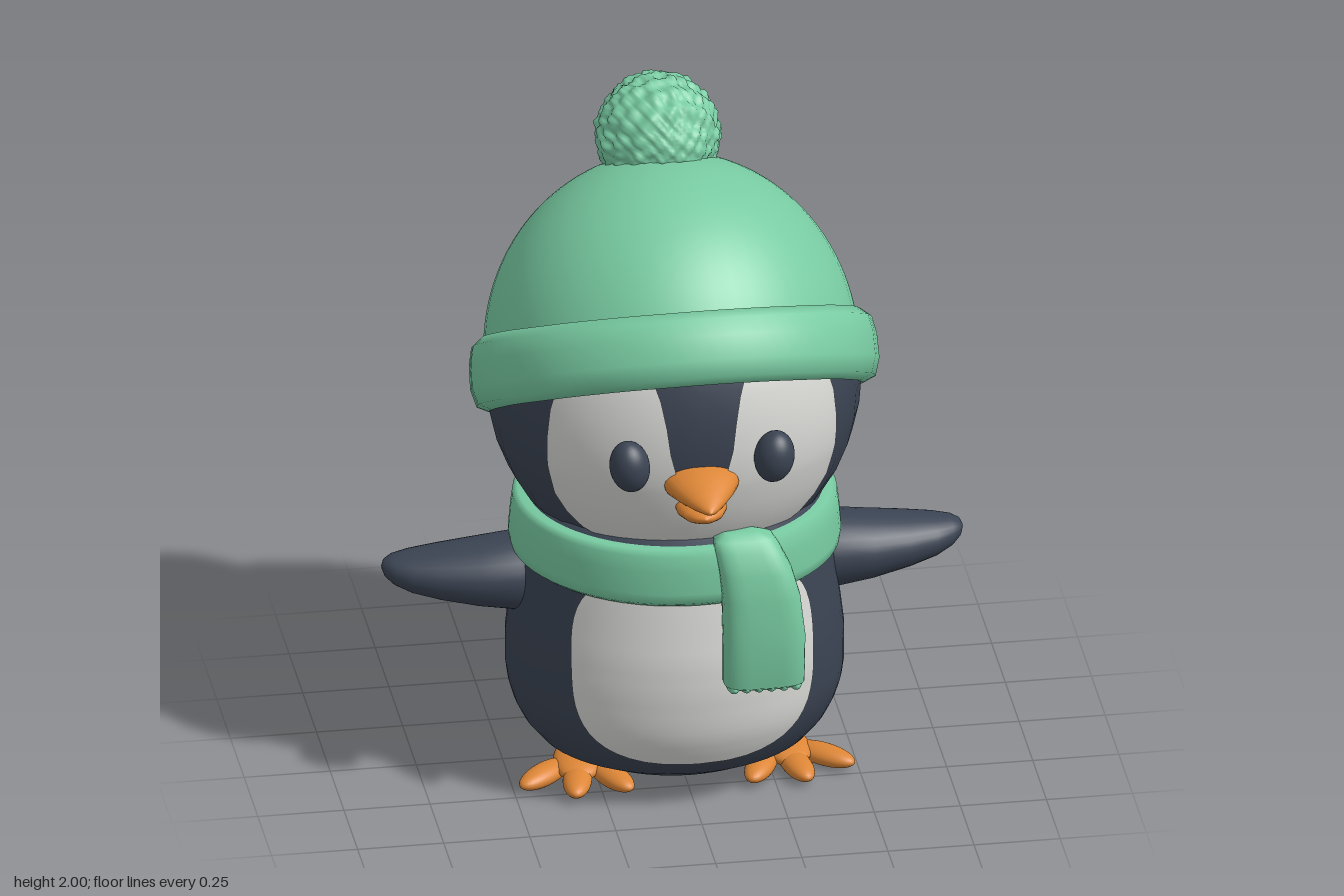
import * as THREE from 'three';
import { mergeVertices } from 'three/addons/utils/BufferGeometryUtils.js';

const mat = (name, color, side = THREE.FrontSide) => {
  const m = new THREE.MeshStandardMaterial({ color, side });
  m.name = name;
  return m;
};

// Body sections: height, half width, front depth, back depth, tail reach
const BODY = [
  [0.03, 0.01, 0.01, 0.01, 0], [0.035, 0.2, 0.18, 0.22, 0.05], [0.06, 0.32, 0.29, 0.36, 0.1],
  [0.1, 0.4, 0.36, 0.42, 0.15], [0.15, 0.44, 0.4, 0.44, 0.2], [0.2, 0.465, 0.425, 0.45, 0.215],
  [0.25, 0.48, 0.445, 0.455, 0.18], [0.3, 0.487, 0.455, 0.46, 0.11], [0.4, 0.487, 0.465, 0.47, 0.055],
  [0.5, 0.475, 0.465, 0.47, 0.035], [0.65, 0.455, 0.445, 0.455, 0.01], [0.75, 0.44, 0.43, 0.44, 0],
  [0.9, 0.42, 0.42, 0.42, 0],
];
const HEAD = { y: 1.2, z: -0.02, rx: 0.54, ry: 0.57, rz: 0.52 };

// Skin over closed rings of points, with both ends capped
function loft(rings) {
  const n = rings[0].length, pos = [], idx = [];
  rings.forEach(r => r.forEach(p => pos.push(...p)));
  for (let i = 0; i < rings.length - 1; i++) for (let j = 0; j < n; j++) {
    const a = i * n + j, b = i * n + (j + 1) % n;
    idx.push(a, b, b + n, a, b + n, a + n);
  }
  [0, rings.length - 1].forEach(k => {
    const c = pos.length / 3;
    pos.push(...[0, 1, 2].map(d => rings[k].reduce((s, p) => s + p[d], 0) / n));
    for (let j = 0; j < n; j++) {
      const a = k * n + j, b = k * n + (j + 1) % n;
      k ? idx.push(a, b, c) : idx.push(b, a, c);
    }
  });
  return makeGeometry(pos, idx);
}

function makeGeometry(pos, idx) {
  const g = new THREE.BufferGeometry();
  g.setAttribute('position', new THREE.Float32BufferAttribute(pos, 3));
  g.setIndex(idx);
  g.computeVertexNormals();
  return g;
}

// Ring of n points; place(u, v) puts each one in space, e < 1 squares the outline
function ring(n, e, place) {
  const p = t => Math.sign(t) * Math.abs(t) ** e;
  return Array.from({ length: n }, (_, j) => {
    const a = j / n * Math.PI * 2;
    return place(p(Math.sin(a)), p(Math.cos(a)));
  });
}

// Thin sheet over a surface: rows of [y, x start, x end]
function patch(rows, surfaceZ, cols = 24) {
  const pos = [], idx = [];
  rows.forEach(([y, x0, x1], i) => {
    for (let j = 0; j <= cols; j++) {
      const x = x0 + (x1 - x0) * j / cols;
      pos.push(x, y, surfaceZ(x, y) + 0.008);
      if (i && j) {
        const d = i * (cols + 1) + j, b = d - cols - 1;
        idx.push(b - 1, b, d, b - 1, d, d - 1);
      }
    }
  });
  return makeGeometry(pos, idx);
}

function mirrored(geo) {
  const g = geo.clone().scale(-1, 1, 1), ix = g.index.array;
  for (let i = 0; i < ix.length; i += 3) [ix[i], ix[i + 1]] = [ix[i + 1], ix[i]];
  g.computeVertexNormals();
  return g;
}

const ball = (rx, ry, rz, x = 0, y = 0, z = 0) =>
  new THREE.SphereGeometry(1, 32, 20).scale(rx, ry, rz).translate(x, y, z);

const bodyZ = (x, y) => {
  const i = Math.max(1, BODY.findIndex(r => r[0] >= y));
  const [a, b] = [BODY[i - 1], BODY[i]], t = (y - a[0]) / (b[0] - a[0]);
  const w = a[1] + (b[1] - a[1]) * t, f = a[2] + (b[2] - a[2]) * t;
  return f * Math.sqrt(Math.max(0, 1 - (x / w) ** 2));
};
const headZ = (x, y) => HEAD.z + HEAD.rz *
  Math.sqrt(Math.max(0, 1 - (x / HEAD.rx) ** 2 - ((y - HEAD.y) / HEAD.ry) ** 2));

export function createModel() {
  const model = new THREE.Group();
  const navy = mat('navy', 0x3b4453), white = mat('white', 0xdbdbd8, THREE.DoubleSide);
  const green = mat('green', 0x78cba2), orange = mat('orange', 0xdd8636);
  const add = (name, geo, material, parent = model) => {
    const m = new THREE.Mesh(geo, material);
    m.name = name;
    parent.add(m);
    return m;
  };
  const pair = (name, geo, material) => {
    add('left' + name, geo, material);
    add('right' + name, mirrored(geo), material);
  };

  // Body with the tail drawn out of its back
  add('body', loft(BODY.map(([y, w, f, b, tail]) => ring(64, 1, (u, v) => {
    const x = u * w;
    return [x, y, v > 0 ? v * f : v * b - tail * Math.exp(-((x / 0.2) ** 2)) * Math.min(1, -v * 2)];
  }))), navy);
  const belly = Array.from({ length: 29 }, (_, i) => {
    const t = -Math.cos(i / 28 * Math.PI), w = 0.352 * (1 - Math.abs(t) ** 3) ** (1 / 3);
    return [0.47 + 0.315 * t, -w, w];
  });
  add('bellyPatch', patch(belly, bodyZ), white);

  // Head and face
  add('head', ball(HEAD.rx, HEAD.ry, HEAD.rz, 0, HEAD.y, HEAD.z), navy);
  pair('FacePatch', patch([
    [0.85, 0, 0.25], [0.89, 0, 0.315], [0.94, 0, 0.36], [1.0, 0, 0.395], [1.07, 0, 0.412], [1.1, 0.04, 0.418],
    [1.14, 0.075, 0.42], [1.2, 0.09, 0.42], [1.28, 0.1, 0.412], [1.36, 0.115, 0.39],
    [1.42, 0.135, 0.36], [1.5, 0.17, 0.3],
  ], headZ), white);
  pair('Eye', ball(0.058, 0.078, 0.058).rotateZ(-0.15).translate(0.21, 1.175, 0.5), navy);

  // Beak: rows of z, half width, centre height, half height
  const beak = rows => loft(rows.map(([z, w, y, h]) => ring(24, 1, (u, v) => [v * w, y + u * h, z])));
  add('upperBeak', beak([[0.42, 0.11, 1.1, 0.055], [0.5, 0.108, 1.1, 0.055], [0.55, 0.085, 1.098, 0.045],
    [0.61, 0.05, 1.093, 0.028], [0.65, 0.022, 1.09, 0.014], [0.665, 0.004, 1.088, 0.004]]), orange);
  add('lowerBeak', beak([[0.42, 0.075, 1.025, 0.035], [0.5, 0.073, 1.022, 0.035], [0.54, 0.055, 1.02, 0.026],
    [0.57, 0.028, 1.022, 0.014], [0.58, 0.004, 1.024, 0.004]]), orange);
  add('mouth', ball(0.06, 0.022, 0.05, 0, 1.05, 0.49), navy);

  // Flippers: rows of x, centre and half height, centre and half depth
  pair('Flipper', loft([
    [0.34, 0.6, 0.11, -0.03, 0.12], [0.46, 0.598, 0.112, -0.03, 0.13], [0.57, 0.6, 0.096, -0.032, 0.122],
    [0.68, 0.604, 0.077, -0.04, 0.104], [0.76, 0.61, 0.06, -0.045, 0.083], [0.81, 0.618, 0.043, -0.047, 0.057],
    [0.835, 0.624, 0.025, -0.048, 0.03], [0.843, 0.627, 0.006, -0.048, 0.008],
  ].map(([x, y, h, z, d]) => ring(28, 1, (u, v) => [x, y + v * h, z + u * d]))), navy);

  // Feet: sole and three splayed toes
  [1, -1].forEach(s => {
    const foot = new THREE.Group();
    foot.name = s > 0 ? 'leftFoot' : 'rightFoot';
    foot.position.set(s * 0.285, 0, 0.06);
    foot.rotation.y = s * 0.2;
    model.add(foot);
    add('sole', ball(0.075, 0.035, 0.13, 0, 0.045, 0.05), orange, foot);
    [-0.62, 0, 0.62].forEach((a, i) =>
      add('toe' + (i + 1), ball(0.042, 0.03, 0.105, 0, 0.036, 0.165).rotateY(a), orange, foot));
  });

  // Scarf band and hanging end
  const lathe = (pts, n) => new THREE.LatheGeometry(pts.map(p => new THREE.Vector2(...p)), n);
  const band = lathe([[0.4, 0.69], [0.455, 0.675], [0.474, 0.69], [0.478, 0.72], [0.472, 0.79],
    [0.466, 0.835], [0.452, 0.853], [0.39, 0.85]], 64);
  const bp = band.attributes.position;
  for (let i = 0; i < bp.count; i++) bp.setY(i, bp.getY(i) + bp.getZ(i) * 0.03);
  add('scarfBand', band, green);
  add('scarfEnd', loft([
    [0.44, 0.18, 0.49, 0.1, 0.04], [0.455, 0.18, 0.49, 0.117, 0.062], [0.6, 0.182, 0.485, 0.118, 0.065],
    [0.72, 0.175, 0.475, 0.112, 0.066], [0.8, 0.16, 0.458, 0.105, 0.066], [0.86, 0.14, 0.44, 0.095, 0.06],
    [0.89, 0.13, 0.43, 0.085, 0.045], [0.905, 0.125, 0.425, 0.05, 0.02],
  ].map(([y, x, z, w, d]) => ring(32, 0.6, (u, v) => [x + u * w, y, z + v * d]))), green);
  for (let i = 0; i < 6; i++)
    add('scarfFringe' + (i + 1), ball(0.02, 0.022, 0.052, 0.09 + i * 0.036, 0.447, 0.49), green);

  // Tilted knitted hat
  const tilt = -Math.PI / 6;
  const dome = add('hatDome', new THREE.SphereGeometry(0.57, 56, 32, 0, Math.PI * 2, 0, 1.75), green);
  dome.scale.x = 0.945;
  dome.position.set(0, 1.255, -0.06);
  dome.rotation.x = tilt;
  const cuff = lathe([[0.5, -0.09], [0.555, -0.108], [0.595, -0.09], [0.61, -0.04], [0.608, 0.03],
    [0.597, 0.08], [0.565, 0.105], [0.525, 0.095], [0.5, 0.03]], 80);
  const cp = cuff.attributes.position;
  for (let i = 0; i < cp.count; i++) {
    const a = Math.atan2(cp.getX(i), cp.getZ(i));
    const k = 1 + 0.007 * Math.sin(9 * a) + 0.005 * Math.sin(16 * a + 1);
    cp.setXYZ(i, cp.getX(i) * k * 0.965, cp.getY(i), cp.getZ(i) * k);
  }
  const brim = add('hatCuff', cuff, green);
  brim.position.set(0, 1.24, -0.025);
  brim.rotation.x = tilt;

  // Woolly pompom: ball roughened by a sum of waves
  let wool = new THREE.IcosahedronGeometry(1, 24);
  wool.deleteAttribute('normal');
  wool.deleteAttribute('uv');
  wool = mergeVertices(wool, 1e-4);
  const wp = wool.attributes.position, p = new THREE.Vector3();
  for (let i = 0; i < wp.count; i++) {
    p.fromBufferAttribute(wp, i);
    const bump = Math.sin(19 * p.x + 4 * p.y) * Math.sin(21 * p.y + 5 * p.z) + Math.sin(20 * p.z + 6 * p.x)
      + Math.sin(33 * p.x - 17 * p.z) * Math.sin(31 * p.y + 13 * p.x);
    p.multiplyScalar(0.177 * (1 + 0.025 * bump));
    wp.setXYZ(i, p.x, p.y, p.z);
  }
  wool.computeVertexNormals();
  add('pompom', wool, green).position.set(0, 1.825, -0.305);

  return model;
}
